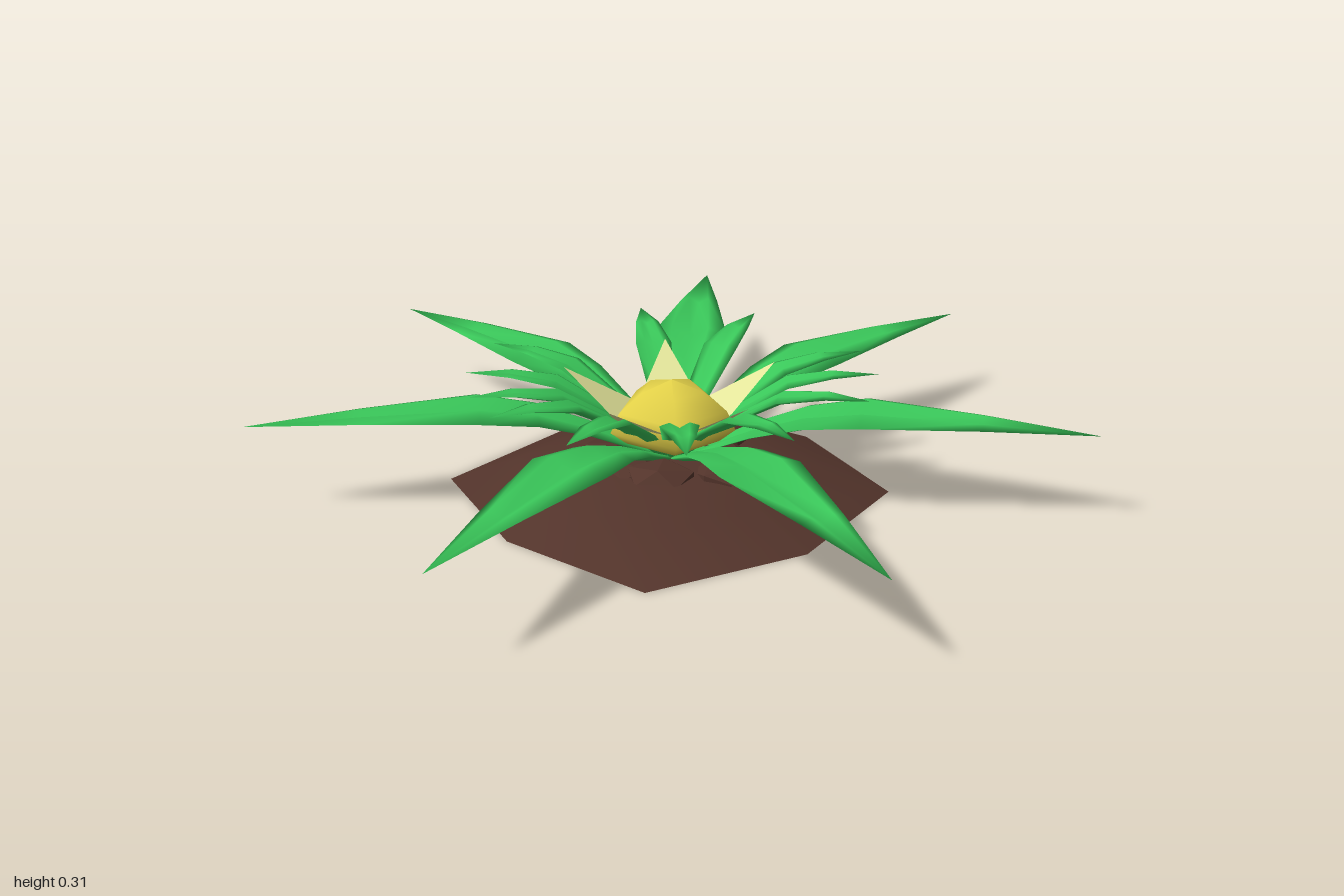
import * as THREE from 'three';
import { mergeVertices } from 'three/addons/utils/BufferGeometryUtils.js';

const mat = (name, color, side = THREE.FrontSide) => {
  const m = new THREE.MeshStandardMaterial({ color, side });
  m.name = name;
  return m;
};

// Smooth surface from equal-length rows of [x, y, z]; coincident points are welded
function loft(rows) {
  const n = rows[0].length, idx = [];
  for (let i = 0; i < rows.length - 1; i++)
    for (let j = 0; j < n - 1; j++) {
      const a = i * n + j, b = a + n;
      idx.push(a, a + 1, b, b, a + 1, b + 1);
    }
  const g = new THREE.BufferGeometry();
  g.setAttribute('position', new THREE.Float32BufferAttribute(rows.flat(2), 3));
  g.setIndex(idx);
  const welded = mergeVertices(g);
  welded.computeVertexNormals();
  return welded;
}

// Fleshy closed leaf along +x: two lobes beside a grooved midrib, keeled below.
// Stations are [radius, half width, height]
function leafGeometry(stations) {
  const section = [[-1, 0], [-0.5, 0.17], [0, -0.12], [0.5, 0.17], [1, 0],
    [0.5, -0.2], [0, -0.4], [-0.5, -0.2], [-1, 0]];
  return loft(stations.map(([r, w, y]) =>
    section.map(([s, d]) => [r, y + d * w, s * w])));
}

export function createModel() {
  const group = new THREE.Group();
  const plant = new THREE.Group();
  plant.name = 'plant';
  plant.position.set(-0.04, 0, 0.01);
  group.add(plant);

  const green = mat('leaf green', 0x3ac85a, THREE.DoubleSide);
  const brown = mat('soil brown', 0x53342b, THREE.DoubleSide);
  const yellow = mat('flower yellow', 0xe2d048);
  const cream = mat('petal cream', 0xe3e59a, THREE.DoubleSide);

  const add = (name, geo, material, degrees = 0) => {
    const m = new THREE.Mesh(geo, material);
    m.name = name;
    m.rotation.y = -THREE.MathUtils.degToRad(degrees);
    plant.add(m);
    return m;
  };

  // Soil mound: a shell with an irregular octagonal rim
  const rim = [[0.475, -0.01], [0.39, 0.37], [0, 0.485], [-0.4, 0.39],
    [-0.49, -0.01], [-0.4, -0.39], [0.03, -0.47], [0.37, -0.39]];
  const rings = [[0, 0.1], [0.3, 0.096], [0.45, 0.088], [0.7, 0.06], [1, 0]];
  add('soilMound', loft(rings.map(([s, y]) =>
    [...rim, rim[0]].map(([x, z]) => [x * s, y, z * s]))), brown);

  // Low clods around the stem
  for (let i = 0; i < 8; i++) {
    const a = i * 45 + 10 * Math.sin(i * 2.3), t = THREE.MathUtils.degToRad(a);
    const r = 0.145 + 0.025 * Math.sin(i * 4.1);
    const clod = add('soilClod', new THREE.IcosahedronGeometry(1, 0), brown, a);
    clod.scale.set(0.075, 0.036 + 0.006 * Math.sin(i * 3), 0.095);
    clod.position.set(r * Math.cos(t), 0.087, r * Math.sin(t));
  }

  // Long outer leaves
  const longLeaf = leafGeometry([[0.05, 0.03, 0.1], [0.2, 0.055, 0.17], [0.33, 0.08, 0.215],
    [0.47, 0.1, 0.238], [0.75, 0.052, 0.238], [1.022, 0, 0.23]]);
  for (let i = 0; i < 7; i++) add('longLeaf', longLeaf, green, i * 52.6);

  // Short inner leaves
  const shortLeaf = leafGeometry([[0.04, 0.02, 0.1], [0.15, 0.034, 0.2], [0.28, 0.046, 0.28],
    [0.39, 0.03, 0.3], [0.5, 0, 0.302]]);
  for (const a of [-24, -60, -115, -140, -159, 157, 126, 97, 62, 41, 22, 185])
    add('shortLeaf', shortLeaf, green, a);

  // Five-sided flower centre
  const profile = [[0.001, 0.12], [0.12, 0.135], [0.16, 0.168], [0.138, 0.215],
    [0.08, 0.26], [0.001, 0.285]];
  add('flowerCentre', new THREE.LatheGeometry(
    profile.map(([x, y]) => new THREE.Vector2(x, y)), 5, Math.PI), yellow);

  // Pointed petals, one on each side of the centre
  const petal = loft([[[0.115, 0.19, -0.075], [0.115, 0.19, 0.075]],
    [[0.275, 0.292, 0], [0.275, 0.292, 0]]]);
  for (let i = 0; i < 5; i++) add('petal', petal, cream, 90 + i * 72);

  return group;
}
